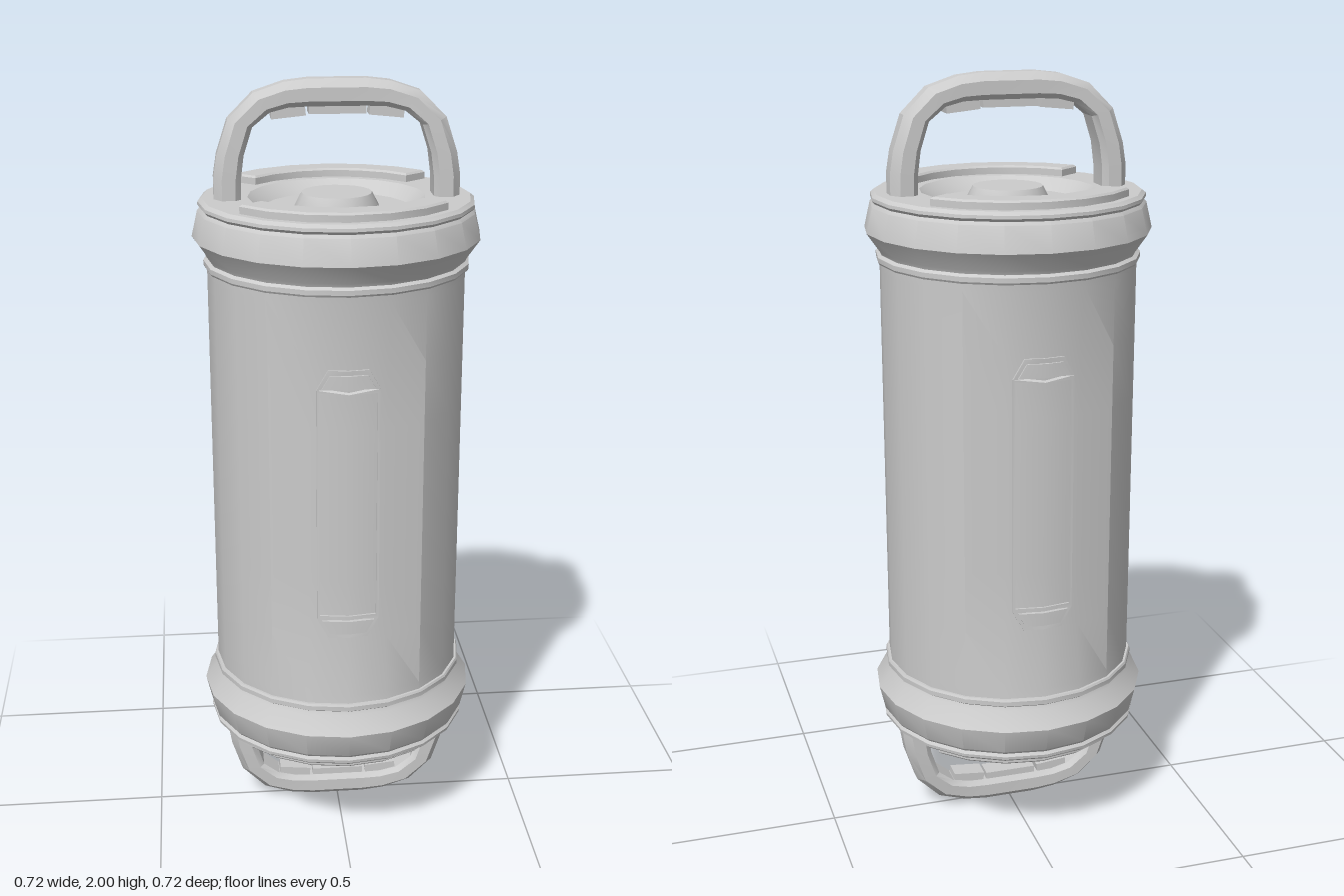
import * as THREE from 'three';
import { toCreasedNormals } from 'three/addons/utils/BufferGeometryUtils.js';

const SIDES = 20;
const material = new THREE.MeshStandardMaterial({ color: 0xcccccc });

function part(name, geometry, crease = 0.5) {
  const mesh = new THREE.Mesh(toCreasedNormals(geometry, crease), material);
  mesh.name = name;
  return mesh;
}

const lathe = (points) =>
  new THREE.LatheGeometry(points.map(([r, y]) => new THREE.Vector2(r, y)), SIDES);

// Drum whose front and back panels sink in towards mid height
function bodyGeometry() {
  const rows = [-0.55, -0.52, -0.36, -0.2, 0.2, 0.36, 0.52, 0.55];
  const geometry = lathe(rows.map((y) => [0.326, y]));
  const p = geometry.attributes.position;
  for (let i = 0; i < p.count; i++) {
    const x = p.getX(i), y = Math.abs(p.getY(i));
    if (Math.abs(x) > 0.15) continue;
    const sink = 0.016 * THREE.MathUtils.clamp((0.55 - y) / 0.19, 0, 1);
    const scale = 1 - sink / 0.326;
    p.setX(i, x * scale);
    p.setZ(i, p.getZ(i) * scale);
  }
  return geometry;
}

const outline = (points) => points.map(([x, y]) => new THREE.Vector2(x, y));

// Extrude a flat shape and fold it along x = 0 to follow the panel
function foldedPlate(shape, z, depth) {
  const geometry = new THREE.ExtrudeGeometry(shape, { depth, bevelEnabled: false });
  const p = geometry.attributes.position;
  for (let i = 0; i < p.count; i++) {
    p.setZ(i, p.getZ(i) + z - 0.15 * Math.abs(p.getX(i)));
  }
  return geometry;
}

// Slim slot with a raised rim and a chamfered block at each end
function slot() {
  const group = new THREE.Group();
  group.name = 'panelSlot';
  const w = 0.078, v = 0.071;
  const rim = new THREE.Shape(outline([
    [0, -0.355], [0.05, -0.355], [w, -0.305], [w, 0.305], [0.05, 0.355],
    [0, 0.355], [-0.05, 0.355], [-w, 0.305], [-w, -0.305], [-0.05, -0.355],
  ]));
  rim.holes.push(new THREE.Path(outline([
    [0, -0.295], [-v, -0.295], [-v, 0.295], [0, 0.295], [v, 0.295], [v, -0.295],
  ])));
  group.add(part('slotRim', foldedPlate(rim, 0.3, 0.015)));
  for (const s of [1, -1]) {
    const block = new THREE.Shape(outline([
      [0, 0.308], [0.066, 0.308], [0.046, 0.343], [0, 0.343], [-0.046, 0.343], [-0.066, 0.308],
    ]));
    const mesh = part('slotEndBlock', foldedPlate(block, 0.3, 0.02));
    if (s < 0) mesh.geometry.rotateZ(Math.PI);
    group.add(mesh);
  }
  return group;
}

// Carrying loop: eight-sided sections swept from one leg to the other
function handleGeometry() {
  // outer x, outer y, inner x, inner y, half width
  const half = [
    [0.07, 1.0, 0.07, 0.935, 0.038], [0.13, 0.993, 0.12, 0.933, 0.039],
    [0.205, 0.968, 0.165, 0.922, 0.042], [0.268, 0.905, 0.208, 0.888, 0.045],
    [0.296, 0.82, 0.23, 0.82, 0.047], [0.305, 0.765, 0.238, 0.76, 0.047],
    [0.305, 0.67, 0.24, 0.67, 0.047],
  ];
  const mirrored = half.map(([a, b, c, d, e]) => [-a, b, -c, d, e]).reverse();
  const stations = [...mirrored, ...half];
  const section = [[0, 0.45], [0.3, 1], [0.8, 1], [1, 0.7]];
  const ring = [...section, ...section.map(([t, z]) => [t, -z]).reverse()];
  const n = ring.length, positions = [], index = [];
  for (const [ox, oy, ix, iy, w] of stations) {
    for (const [t, z] of ring) {
      positions.push(ox + (ix - ox) * t, oy + (iy - oy) * t, z * w);
    }
  }
  for (let i = 0; i < stations.length - 1; i++) {
    for (let j = 0; j < n; j++) {
      const k = (j + 1) % n;
      const a = i * n + j, b = a + n, c = i * n + k, d = c + n;
      index.push(a, c, b, b, c, d);
    }
  }
  const geometry = new THREE.BufferGeometry();
  geometry.setAttribute('position', new THREE.Float32BufferAttribute(positions, 3));
  geometry.setIndex(index);
  return geometry;
}

// Raised curved pad lying on the cap, centred on +z
function padGeometry() {
  const angles = [-51, -36, -18, 0, 18, 36, 51].map(THREE.MathUtils.degToRad);
  const at = (r) => (a) => new THREE.Vector2(r * Math.sin(a), -r * Math.cos(a));
  const shape = new THREE.Shape([
    ...angles.map(at(0.311)), ...[...angles].reverse().map(at(0.25)),
  ]);
  const geometry = new THREE.ExtrudeGeometry(shape, {
    depth: 0.03, bevelThickness: 0.005, bevelSize: 0.005, bevelSegments: 1,
  });
  return geometry.rotateX(-Math.PI / 2).translate(0, 0.7, 0);
}

// One complete end: collar, dished cap, button, pads and handle
function endAssembly(name) {
  const end = new THREE.Group();
  end.name = name;
  end.add(part('collarAndCap', lathe([
    [0.3, 0.54], [0.332, 0.54], [0.335, 0.545], [0.335, 0.557], [0.326, 0.563],
    [0.33, 0.572], [0.362, 0.618], [0.347, 0.682], [0.34, 0.69], [0.346, 0.697],
    [0.345, 0.705], [0.335, 0.713], [0.222, 0.713], [0.185, 0.683], [0, 0.683],
  ])));
  end.add(part('button', lathe([[0.107, 0.68], [0.105, 0.69], [0.088, 0.722], [0, 0.722]])));
  for (const turn of [0, Math.PI]) {
    const pad = part('capPad', padGeometry());
    pad.rotation.y = turn;
    end.add(pad);
  }
  end.add(part('handle', handleGeometry(), 0.42));
  // Finger grips under the loop
  for (const [x, w, tilt] of [[-0.121, 0.085, 0.1], [0, 0.14, 0], [0.121, 0.085, -0.1]]) {
    const grip = part('fingerGrip', new THREE.BoxGeometry(w, 0.035, 0.052));
    grip.position.set(x, 0.934 - Math.abs(x) * 0.06, 0);
    grip.rotation.z = tilt;
    end.add(grip);
  }
  return end;
}

export function createModel() {
  const model = new THREE.Group();
  model.name = 'canister';
  const centre = new THREE.Group();
  centre.name = 'canisterParts';
  centre.position.y = 1;
  model.add(centre);

  centre.add(part('body', bodyGeometry(), 0.42));
  for (const turn of [0, Math.PI]) {
    const panelSlot = slot();
    panelSlot.rotation.y = turn;
    centre.add(panelSlot);
  }

  const top = endAssembly('topEnd');
  const bottom = endAssembly('bottomEnd');
  bottom.rotation.x = Math.PI;
  centre.add(top, bottom);
  return model;
}
